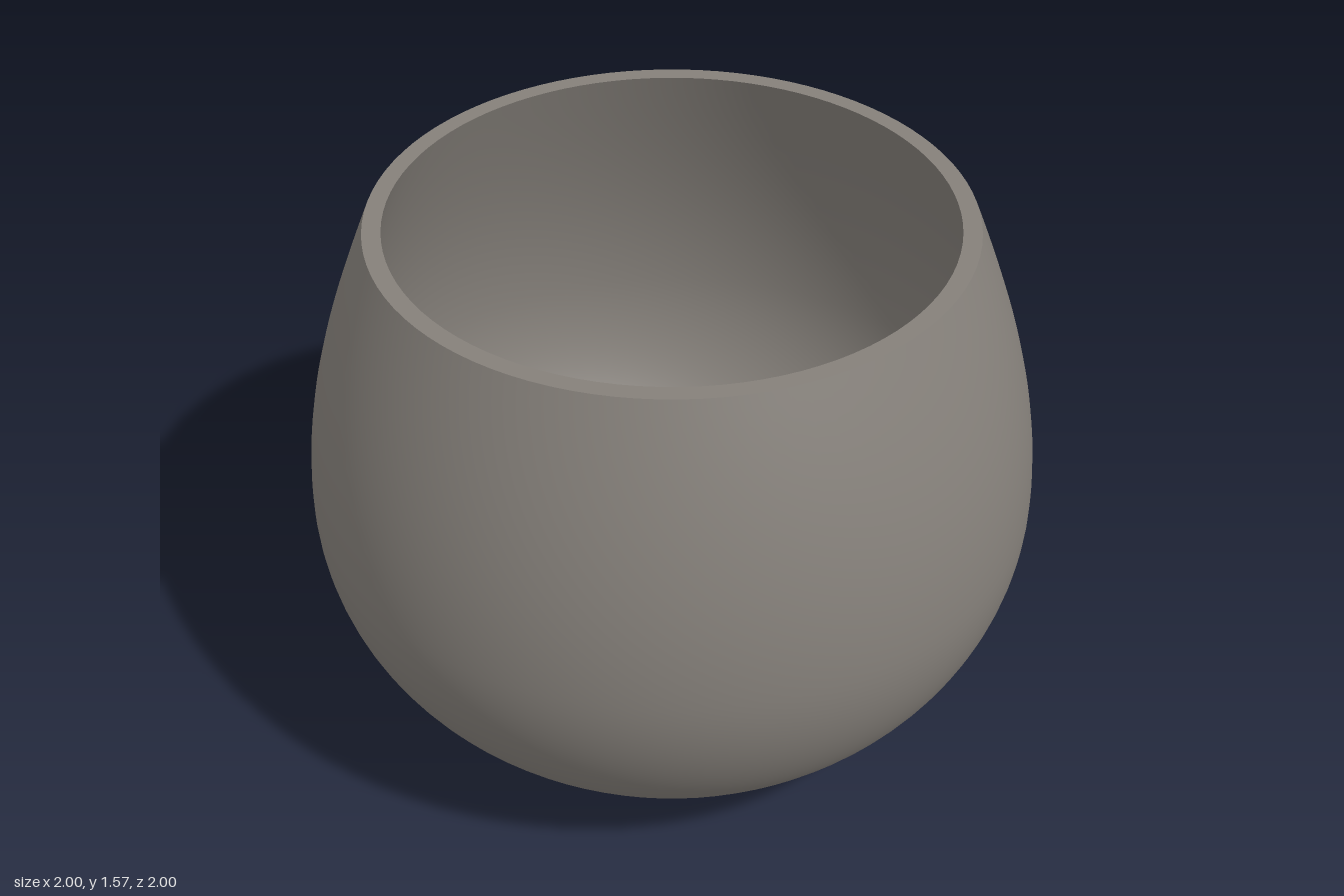
import * as THREE from 'three';

const SEGMENTS = 96;
const v = (x, y) => new THREE.Vector2(x, y);

// Sample a cubic curve of the side profile
const curve = (a, b, c, d, n = 20) =>
  new THREE.CubicBezierCurve(v(...a), v(...b), v(...c), v(...d)).getPoints(n);

export function createModel() {
  const group = new THREE.Group();
  group.name = 'roundCup';
  const clay = new THREE.MeshStandardMaterial({ color: 0x85807a });
  clay.name = 'warm grey clay';

  // Each surface is its own lathe, so the edges between them stay sharp
  const addLathe = (name, points) => {
    const mesh = new THREE.Mesh(new THREE.LatheGeometry(points, SEGMENTS), clay);
    mesh.name = name;
    group.add(mesh);
  };

  // Foot: shallow recess, ring underside and outer wall
  addLathe('footRecessFloor', [v(0, 0.035), v(0.49, 0.035)]);
  addLathe('footRecessWall', [v(0.49, 0.035), v(0.5, 0)]);
  addLathe('footRingUnderside', [v(0.5, 0), v(0.55, 0)]);
  addLathe('footRingWall', [v(0.55, 0), v(0.55, 0.08)]);

  // Body: flat underside and bulging outer wall
  addLathe('bodyUnderside', [v(0.55, 0.08), v(0.6, 0.08)]);
  addLathe('outerWall', [
    ...curve([0.6, 0.08], [0.85, 0.24], [1, 0.48], [1, 0.76]),
    ...curve([1, 0.76], [1, 1.06], [0.9, 1.33], [0.805, 1.57]).slice(1),
  ]);

  // Flat rim, then the inside from the rim down to the floor
  addLathe('rim', [v(0.805, 1.57), v(0.755, 1.57)]);
  addLathe('innerWall', [
    ...curve([0.755, 1.57], [0.85, 1.32], [0.95, 1.05], [0.95, 0.76]),
    ...curve([0.95, 0.76], [0.95, 0.5], [0.81, 0.28], [0.59, 0.135]).slice(1),
  ]);
  addLathe('innerFloor', [v(0.59, 0.135), v(0, 0.135)]);

  return group;
}
